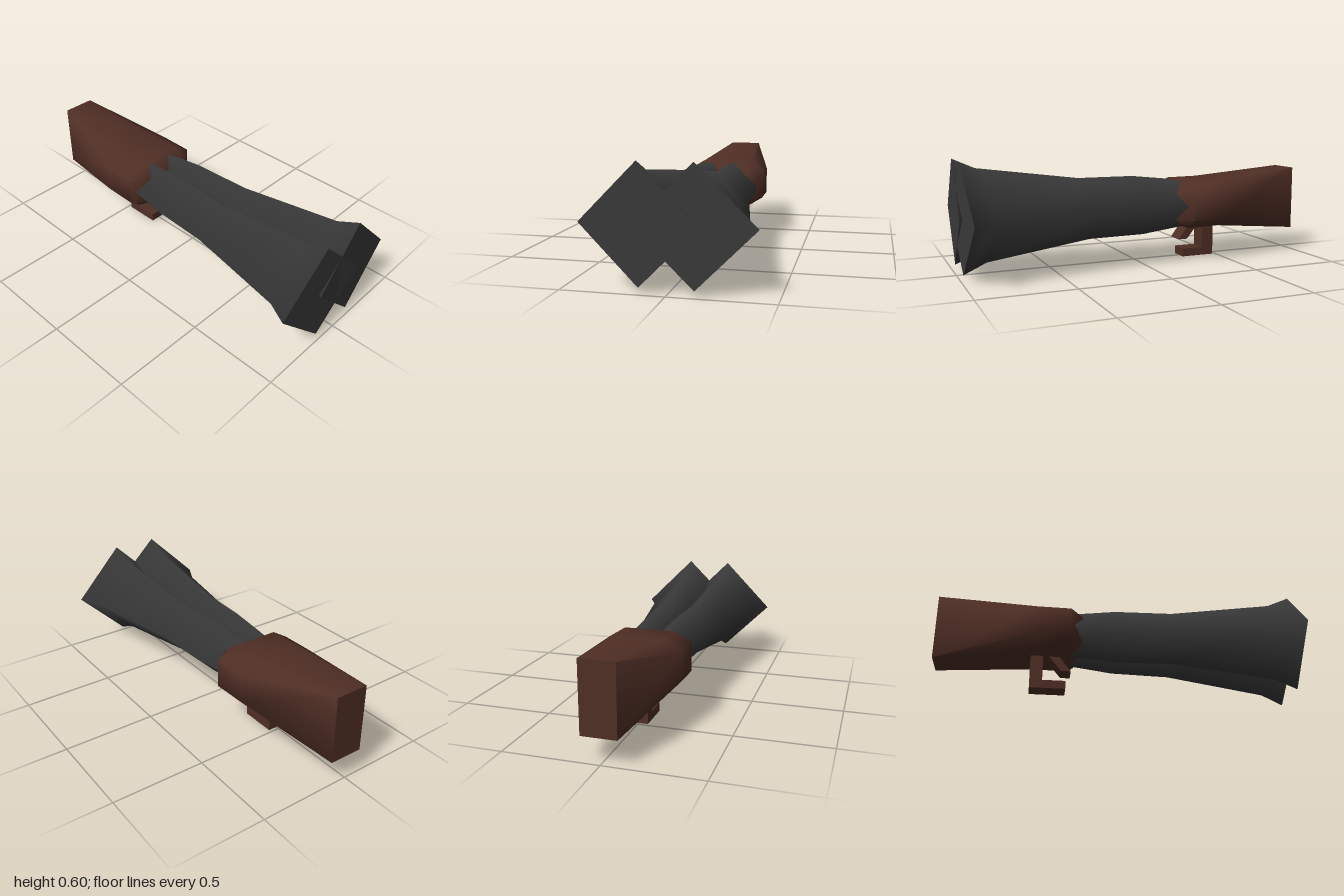
import * as THREE from 'three';
import { toCreasedNormals } from 'three/addons/utils/BufferGeometryUtils.js';

const wood = new THREE.MeshStandardMaterial({ color: 0x502f25 });
wood.name = 'brown wood';
const metal = new THREE.MeshStandardMaterial({ color: 0x3a3a3a });
metal.name = 'dark metal';

const AXIS_Y = 0.313;

function mesh(name, geometry, material) {
  const m = new THREE.Mesh(geometry, material);
  m.name = name;
  return m;
}

// Eight-cornered section: top/bottom faces reach zFlat, side faces reach yFlat
function section({ x, y0, y1, z, zFlat = z, cut = 0 }) {
  const c = -0.005;
  return [
    [x, y1 - cut, c + z], [x, y1, c + zFlat], [x, y1, c - zFlat], [x, y1 - cut, c - z],
    [x, y0 + cut, c - z], [x, y0, c - zFlat], [x, y0, c + zFlat], [x, y0 + cut, c + z],
  ];
}

// Skin between sections running along +x, closed at both ends
function loft(rings) {
  const pos = [];
  const tri = (a, b, c) => {
    const [A, B, C] = [a, b, c].map((p) => new THREE.Vector3(...p));
    const area = B.clone().sub(A).cross(C.clone().sub(A)).length();
    if (area > 1e-8) pos.push(...a, ...b, ...c);
  };
  for (let i = 0; i < rings.length - 1; i++) {
    const p = rings[i], q = rings[i + 1];
    for (let j = 0; j < 8; j++) {
      const k = (j + 1) % 8;
      tri(p[j], q[k], p[k]);
      tri(p[j], q[j], q[k]);
    }
  }
  const first = rings[0], last = rings[rings.length - 1];
  for (let j = 1; j < 7; j++) {
    tri(first[0], first[j], first[j + 1]);
    tri(last[0], last[j + 1], last[j]);
  }
  const g = new THREE.BufferGeometry();
  g.setAttribute('position', new THREE.Float32BufferAttribute(pos, 3));
  return toCreasedNormals(g, 1.15);
}

// Four-sided barrel, flared at the muzzle and splayed slightly outward
function barrel(side) {
  const group = new THREE.Group();
  group.name = side > 0 ? 'frontBarrel' : 'backBarrel';
  const profile = [[0.115, -0.4], [0.156, -0.02], [0.156, 0.3], [0.23, 0.865], [0.284, 0.986]]
    .map(([r, x]) => new THREE.Vector2(r, x));
  const tube = new THREE.LatheGeometry(profile, 4).rotateZ(-Math.PI / 2);
  group.add(mesh('barrelTube', tube, metal));
  const cap = new THREE.CircleGeometry(0.284, 4).rotateY(Math.PI / 2).translate(0.986, 0, 0);
  group.add(mesh('muzzleFace', cap, metal));
  group.position.set(0, AXIS_Y, side * 0.081);
  group.rotation.y = -side * 0.048;
  return group;
}

// Side outline in x and y, given thickness across z
function plate(name, points, width) {
  const shape = new THREE.Shape(points.map(([x, y]) => new THREE.Vector2(x, y)));
  const g = new THREE.ExtrudeGeometry(shape, { depth: width, bevelEnabled: false });
  return mesh(name, g.translate(0, 0, -width / 2), wood);
}

export function createModel() {
  const model = new THREE.Group();
  model.name = 'doubleBarrelGun';

  // Stock: rectangular butt widening to a bevelled front block
  const stock = loft([
    section({ x: -1, y0: 0.132, y1: 0.497, z: 0.091 }),
    section({ x: -0.46, y0: 0.188, y1: 0.447, z: 0.228, zFlat: 0.14, cut: 0.055 }),
    section({ x: -0.27, y0: 0.183, y1: 0.445, z: 0.228, zFlat: 0.14, cut: 0.055 }),
    section({ x: -0.205, y0: 0.235, y1: 0.392, z: 0.14 }),
  ]);
  model.add(mesh('stock', stock, wood));

  // Barrels
  for (const side of [1, -1]) model.add(barrel(side));

  // Trigger guard and slanted trigger
  model.add(plate('triggerGuard',
    [[-0.482, 0], [-0.287, 0], [-0.287, 0.046], [-0.413, 0.046], [-0.413, 0.22], [-0.482, 0.22]], 0.102));
  model.add(plate('trigger',
    [[-0.405, 0.215], [-0.313, 0.103], [-0.26, 0.103], [-0.345, 0.215]], 0.102));

  return model;
}
